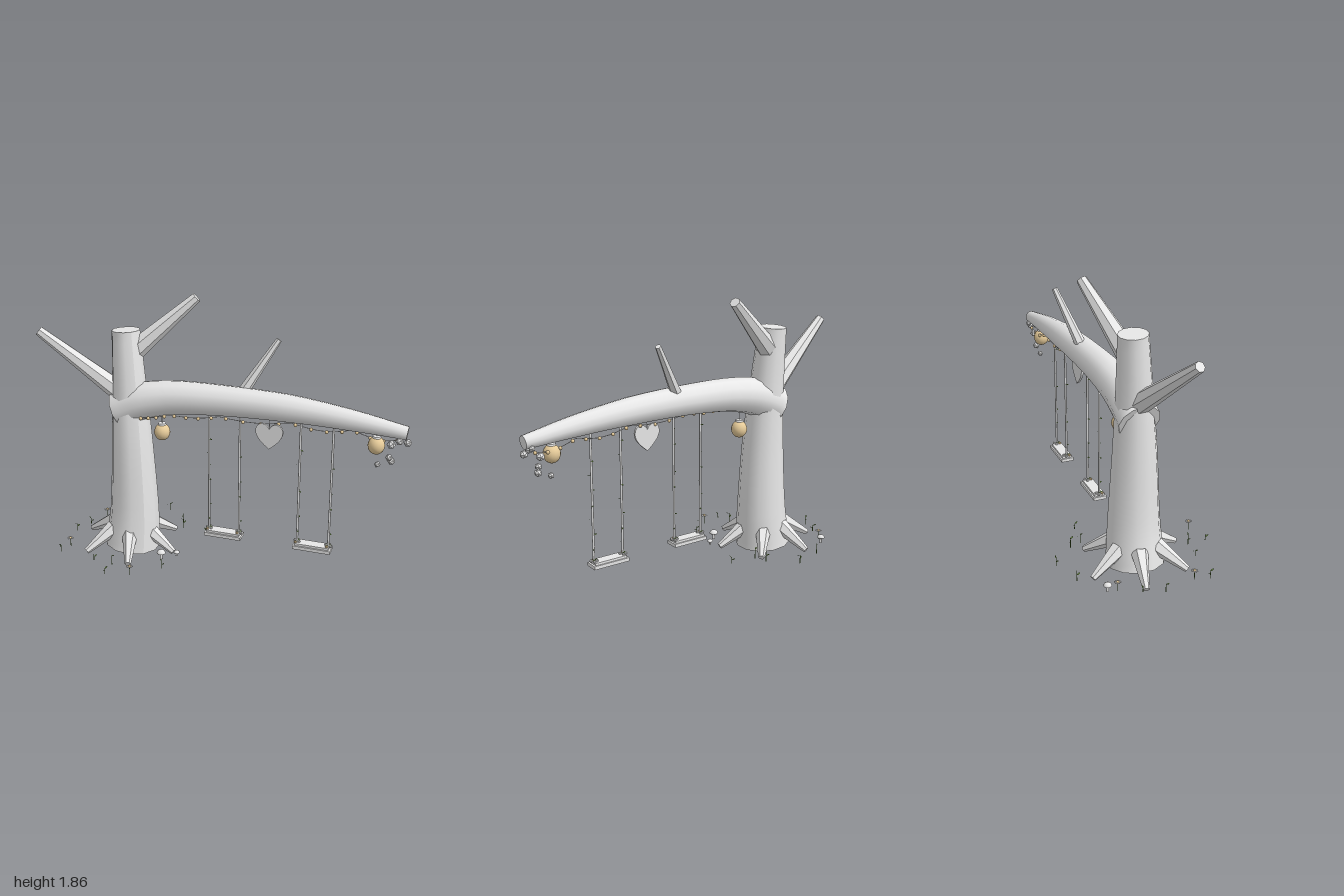
import * as THREE from 'three';

const mat = (name, color, side = THREE.FrontSide) => {
  const m = new THREE.MeshStandardMaterial({ color, side });
  m.name = name;
  return m;
};
const V = (x, y, z) => new THREE.Vector3(x, y, z);
const UP = V(0, 1, 0);

export function createModel() {
  const root = new THREE.Group();
  root.name = 'treeSwing';
  const grey = mat('paleGrey', 0xe7e7e7);
  const tan = mat('warmTan', 0xe7cc9a);
  const leafGreen = mat('leafGreen', 0x64843a, THREE.DoubleSide);

  const add = (name, geo, material, parent = root, pos = [0, 0, 0]) => {
    const m = new THREE.Mesh(geo, material);
    m.name = name;
    m.position.set(...pos);
    parent.add(m);
    return m;
  };
  const group = (name, pos, rotY = 0, parent = root) => {
    const g = new THREE.Group();
    g.name = name;
    g.position.set(...pos);
    g.rotation.y = rotY;
    parent.add(g);
    return g;
  };
  const faceted = (geo) => {
    const g = geo.index ? geo.toNonIndexed() : geo;
    g.computeVertexNormals();
    return g;
  };
  // Linear lookup in an evenly spaced list
  const lerpList = (list, t) => {
    const f = THREE.MathUtils.clamp(t, 0, 1) * (list.length - 1);
    const i = Math.min(Math.floor(f), list.length - 2);
    return list[i] + (list[i + 1] - list[i]) * (f - i);
  };
  // Capped, tapering, smooth limb swept along a curve
  const sweep = (curve, radii, ref, sides, steps) => {
    const geo = new THREE.CylinderGeometry(1, 1, 1, sides, steps);
    const p = geo.attributes.position;
    for (let i = 0; i < p.count; i++) {
      const t = THREE.MathUtils.clamp(p.getY(i) + 0.5, 0, 1);
      const r = lerpList(radii, t);
      const T = curve.getTangent(t);
      const X = ref.clone().addScaledVector(T, -ref.dot(T)).normalize();
      const Z = X.clone().cross(T);
      const q = curve.getPoint(t).addScaledVector(X, p.getX(i) * r).addScaledVector(Z, p.getZ(i) * r);
      p.setXYZ(i, q.x, q.y, q.z);
    }
    geo.computeVertexNormals();
    return geo;
  };
  // Straight tapered stick from a to b
  const stick = (name, a, b, ra, rb, sides) => {
    const d = b.clone().sub(a);
    const m = add(name, faceted(new THREE.CylinderGeometry(rb, ra, d.length(), sides)), grey);
    m.position.copy(a).addScaledVector(d, 0.5);
    m.quaternion.setFromUnitVectors(UP, d.normalize());
  };

  // Trunk
  const trunkCurve = new THREE.CatmullRomCurve3([
    V(-0.438, 0.018, -0.402), V(-0.42, 0.27, -0.39), V(-0.42, 0.8, -0.392),
    V(-0.42, 1.2, -0.413), V(-0.42, 1.61, -0.445)]);
  add('trunk', sweep(trunkCurve, [0.2, 0.177, 0.146, 0.12, 0.097], V(1, 0, 0), 12, 20), grey);

  // Long arching bough, its butt end showing behind the trunk
  const bough = new THREE.CatmullRomCurve3([
    V(-0.475, 1.045, -0.46), V(-0.36, 1.12, -0.345), V(-0.2, 1.168, -0.195), V(0.05, 1.188, 0.045),
    V(0.4, 1.183, 0.375), V(0.7, 1.15, 0.665), V(0.957, 1.105, 0.913)]);
  const boughRadii = [0.14, 0.133, 0.12, 0.107, 0.094, 0.071, 0.045];
  add('bough', sweep(bough, boughRadii, V(0.68, 0, -0.73), 12, 24), grey);

  // Cut branches
  stick('upperBranch', V(-0.38, 1.46, -0.42), V(0.01, 1.835, -0.232), 0.075, 0.036, 7);
  stick('backBranch', V(-0.45, 1.15, -0.44), V(-0.935, 1.59, -0.75), 0.075, 0.034, 7);
  stick('boughTwig', V(0.145, 1.2, 0.115), V(0.405, 1.605, 0.198), 0.042, 0.02, 6);

  // Roots fanned round the base
  for (let i = 0; i < 6; i++) {
    const a = (i * 60 - 3) * Math.PI / 180, c = Math.cos(a), s = Math.sin(a);
    stick('root', V(-0.44 + 0.14 * c, 0.16, -0.412 + 0.14 * s),
      V(-0.44 + 0.36 * c, 0.025, -0.412 + 0.36 * s), 0.058, 0.022, 6);
  }

  // Leaf blade lying along +x
  const leafShape = new THREE.Shape();
  leafShape.moveTo(0, 0);
  leafShape.quadraticCurveTo(0.014, 0.011, 0.028, 0);
  leafShape.quadraticCurveTo(0.014, -0.011, 0, 0);
  const leafGeo = new THREE.ShapeGeometry(leafShape, 3).rotateX(-Math.PI / 2 + 0.5);
  const bloomGeo = faceted(new THREE.IcosahedronGeometry(0.012, 0));

  // Swings: seat, ropes and climbing leaves
  const ropeGeo = new THREE.CylinderGeometry(0.008, 0.008, 0.92, 8);
  for (const [x, z] of [[0.068, 0.073], [0.526, 0.518]]) {
    const swing = group('swing', [x, 0, z], -Math.PI / 4);
    add('seat', new THREE.BoxGeometry(0.265, 0.024, 0.095), grey, swing, [0, 0.186, 0]);
    add('seatTop', new THREE.BoxGeometry(0.238, 0.016, 0.075), grey, swing, [0, 0.206, 0]);
    for (const side of [-1, 1]) {
      const line = group('leafyRope', [side * 0.11, 0, 0], 0, swing);
      add('rope', ropeGeo, grey, line, [0, 0.67, 0]);
      for (let k = 0; k < 8; k++)
        add('ropeLeaf', leafGeo, leafGreen, line, [0, 0.3 + k * 0.1, 0]).rotation.y = k * 2.2 + side;
      for (let k = 0; k < 4; k++) {
        const a = k * 1.57 + 0.4;
        add('ropeBloom', bloomGeo, k === 1 ? tan : grey, line, [0.018 * Math.cos(a), 0.218, 0.022 * Math.sin(a)]);
        add('seatLeaf', leafGeo, leafGreen, line, [0, 0.227, 0]).rotation.y = a + 0.8;
      }
    }
  }

  // Heart plaque
  const heart = new THREE.Shape();
  heart.moveTo(0, -0.09);
  heart.bezierCurveTo(-0.045, -0.055, -0.097, -0.01, -0.095, 0.04);
  heart.bezierCurveTo(-0.09, 0.105, -0.015, 0.105, 0, 0.052);
  heart.bezierCurveTo(0.015, 0.105, 0.09, 0.105, 0.095, 0.04);
  heart.bezierCurveTo(0.097, -0.01, 0.045, -0.055, 0, -0.09);
  const heartGeo = new THREE.ExtrudeGeometry(heart, { depth: 0.016, bevelEnabled: false, curveSegments: 8 });
  const plaque = group('heartPlaque', [0.287, 0.977, 0.303], -Math.PI / 4);
  add('heart', heartGeo.translate(0, 0, -0.008), grey, plaque);
  add('heartCord', new THREE.CylinderGeometry(0.002, 0.002, 0.1, 5), grey, plaque, [0, 0.09, 0]);

  // Lanterns
  for (const [x, y, z] of [[-0.256, 0.91, -0.24], [0.81, 1, 0.785]]) {
    const lantern = group('lantern', [x, y, z]);
    add('globe', new THREE.SphereGeometry(0.056, 16, 12), tan, lantern).scale.y = 1.08;
    add('lanternCap', new THREE.CylinderGeometry(0.027, 0.03, 0.012, 12), grey, lantern, [0, 0.06, 0]);
    add('lanternCord', new THREE.CylinderGeometry(0.0025, 0.0025, 0.1, 5), grey, lantern, [0, 0.11, 0]);
  }

  // Scalloped string of bead lights, winding from the bough's front to its back
  const across = V(-0.68, 0, 0.73);
  const stringPoint = (t) => {
    const p = bough.getPoint(t), r = lerpList(boughRadii, t) + 0.004, a = 1.15 - 1.6 * t;
    p.addScaledVector(across, r * Math.sin(a));
    p.y -= r * Math.cos(a) + 0.045 * t * Math.abs(Math.sin(t * Math.PI * 6));
    return p;
  };
  const wirePts = Array.from({ length: 66 }, (_, i) => stringPoint(0.19 + i * 0.012));
  add('lightWire', new THREE.TubeGeometry(new THREE.CatmullRomCurve3(wirePts), 130, 0.0025, 4), grey);
  const beadGeo = new THREE.SphereGeometry(0.0125, 8, 6);
  for (let i = 0; i < 20; i++) {
    const p = stringPoint(0.19 + i * 0.041);
    add('beadLight', beadGeo, tan, root, [p.x, p.y - 0.005, p.z]);
  }

  // Blossom cluster at the bough tip
  const blossomGeo = faceted(new THREE.IcosahedronGeometry(0.027, 0));
  for (const [x, y, z, s] of [[0.965, 1.035, 0.91, 1], [0.91, 1.05, 0.895, 1], [0.955, 1.07, 0.86, 0.8],
    [0.895, 1.005, 0.83, 1.1], [0.865, 0.93, 0.855, 0.9], [0.89, 0.897, 0.85, 0.95], [0.825, 0.863, 0.79, 0.8]])
    add('blossom', blossomGeo, grey, root, [x, y, z]).scale.setScalar(s);

  // Mushrooms
  for (const [x, z, r, h] of [[-0.365, -0.05, 0.032, 0.085], [-0.25, -0.04, 0.022, 0.065], [-0.42, -0.83, 0.028, 0.08]]) {
    const m = group('mushroom', [x, 0, z]);
    add('stalk', new THREE.CylinderGeometry(r * 0.25, r * 0.35, h - 0.03, 8), grey, m, [0, (h + 0.03) / 2, 0]);
    const cap = [[0, -0.1], [0.9, -0.05], [1, 0.05], [0.8, 0.5], [0.4, 0.75], [0, 0.85]]
      .map(([a, b]) => new THREE.Vector2(a * r, b * r));
    add('cap', new THREE.LatheGeometry(cap, 12), grey, m, [0, h - 0.01, 0]);
  }

  // Daisies
  const petalGeo = new THREE.SphereGeometry(0.008, 6, 4).scale(1.1, 0.3, 0.6).translate(0.016, 0, 0);
  for (const [x, z] of [[-0.88, -0.5], [-0.65, 0.065], [-0.48, -0.81]]) {
    const d = group('daisy', [x, 0.1, z]);
    add('daisyStem', new THREE.CylinderGeometry(0.0025, 0.0025, 0.065, 5), leafGreen, d, [0, -0.033, 0]);
    add('daisyCentre', new THREE.SphereGeometry(0.01, 8, 6), tan, d);
    for (let k = 0; k < 10; k++) add('petal', petalGeo, grey, d).rotation.y = k * Math.PI / 5;
  }

  // Sprouts with paired leaves
  const sprouts = [[-0.8, -0.235], [-0.97, -0.45], [-0.71, -0.12], [-0.8, -0.02], [-0.42, 0.085], [-0.035, -0.39],
    [0.075, -0.24], [-0.005, -0.705], [-0.2, -0.81], [-0.63, -0.76], [-0.76, -0.7], [0, -0.47]];
  sprouts.forEach(([x, z], i) => {
    const h = 0.045 + 0.015 * (i % 3);
    const s = group('sprout', [x, 0.035, z], i * 1.3);
    add('sproutStem', new THREE.CylinderGeometry(0.0015, 0.003, h, 5), leafGreen, s, [0, h / 2, 0]);
    for (const k of [0, 1]) {
      const leaf = add('sproutLeaf', leafGeo, leafGreen, s, [0, h * (0.55 + 0.35 * k), 0]);
      leaf.rotation.set(0, k * 2.6, 0.5);
    }
  });

  return root;
}
